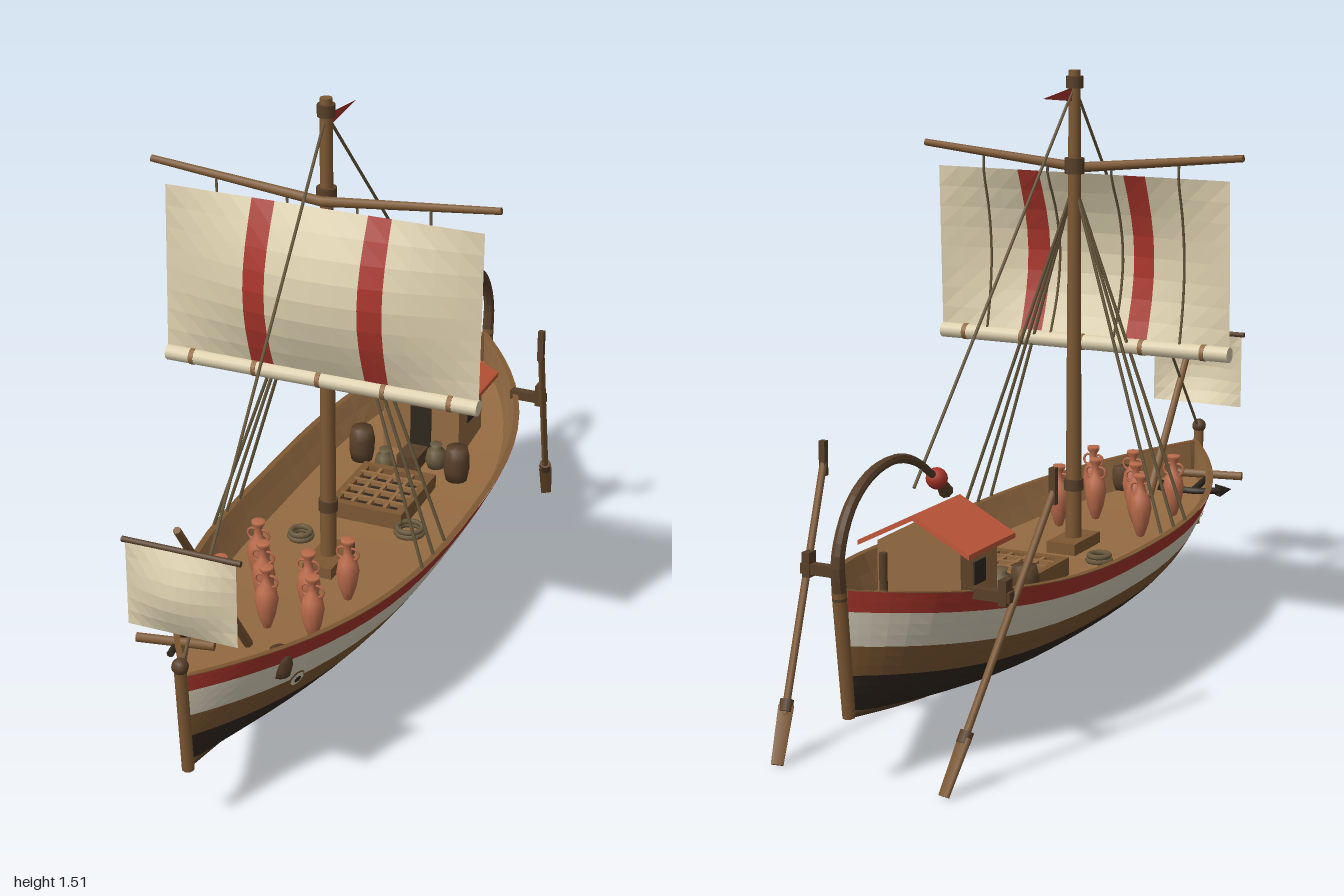
import * as THREE from 'three';

const mat = (name, color, side = THREE.FrontSide) => {
  const m = new THREE.MeshStandardMaterial({ color, side });
  m.name = name;
  return m;
};
const D = THREE.DoubleSide;

export function createModel() {
  const M = {
    deck: mat('deck wood', 0x946b42, D), spar: mat('spar wood', 0x7d5833, D),
    dark: mat('dark wood', 0x583f29, D), red: mat('red paint', 0xa8352b, D),
    white: mat('white paint', 0xd9d1bb, D), sail: mat('sail cloth', 0xdccfae, D),
    pitch: mat('pitch black', 0x30271f, D), clay: mat('clay', 0xbb6c4c, D),
    roof: mat('roof tile', 0xc0573a), rope: mat('rope', 0x6a5a3e),
  };
  const root = new THREE.Group();
  root.name = 'sailingShip';
  const V = (x, y, z) => new THREE.Vector3(x, y, z);

  const add = (name, geo, m, x = 0, y = 0, z = 0) => {
    const o = new THREE.Mesh(geo, m);
    o.name = name;
    o.position.set(x, y, z);
    root.add(o);
    return o;
  };
  const box = (name, m, w, h, d, x, y, z) => add(name, new THREE.BoxGeometry(w, h, d), m, x, y, z);
  const cyl = (name, m, r, h, x, y, z, r2 = r) => add(name, new THREE.CylinderGeometry(r2, r, h, 12), m, x, y, z);
  // tapered rod from a to b
  const rod = (name, m, a, b, r1, r2 = r1, n = 8) => {
    const d = b.clone().sub(a);
    const o = add(name, new THREE.CylinderGeometry(r2, r1, d.length(), n), m);
    o.position.copy(a).add(b).multiplyScalar(0.5);
    o.quaternion.setFromUnitVectors(V(0, 1, 0), d.normalize());
    return o;
  };
  // faceted grid over f(u, v)
  const surface = (f, nu, nv) => {
    const p = [], idx = [];
    for (let i = 0; i <= nu; i++) for (let j = 0; j <= nv; j++) p.push(...f(i / nu, j / nv));
    for (let i = 0; i < nu; i++) for (let j = 0; j < nv; j++) {
      const a = i * (nv + 1) + j, b = a + nv + 1;
      idx.push(a, b, a + 1, b, b + 1, a + 1);
    }
    let g = new THREE.BufferGeometry();
    g.setAttribute('position', new THREE.Float32BufferAttribute(p, 3));
    g.setIndex(idx);
    g = g.toNonIndexed();
    g.computeVertexNormals();
    return g;
  };

  // hull lines
  const L = 0.955;
  const sheer = z => 0.363 + (z > 0 ? 0.043 : 0.093) * (z / L) ** 2;
  const bottom = z => 0.09 + 0.085 * Math.abs(z / L) ** 2.2;
  const half = z => 0.006 + 0.291 * (1 - Math.abs(z / L) ** (z > 0 ? 2.5 : 3.3));
  const deckY = z => sheer(z) - 0.085;
  const hull = (z, t, inset = 0) => [
    Math.max(0, half(z) * t ** 0.43 - inset), bottom(z) + t * (sheer(z) - bottom(z)), z];
  const zAt = u => L * Math.sin((u - 0.5) * Math.PI);
  const deckT = z => (deckY(z) - bottom(z)) / (sheer(z) - bottom(z));

  for (const s of [1, -1]) {
    const flip = ([x, y, z]) => [s * x, y, z];
    const bands = [['hullBottom', M.pitch, 0, 0.31, 7], ['hullWale', M.spar, 0.31, 0.55, 3],
      ['hullPaintedBand', M.white, 0.55, 0.83, 3], ['hullTopStrake', M.red, 0.83, 1, 2]];
    for (const [name, m, t0, t1, n] of bands)
      add(name, surface((u, v) => flip(hull(zAt(u), t0 + (t1 - t0) * (t0 ? v : v * v))), 32, n), m);
    add('bulwarkInside', surface((u, v) => {
      const z = zAt(u), t = deckT(z);
      return flip(hull(z, t + (1 - t) * v, 0.012));
    }, 32, 2), M.deck);
    add('gunwale', surface((u, v) => {
      const [x, y, z] = hull(zAt(u), 1, 0.016 * v);
      return flip([x, y + 0.002, z]);
    }, 32, 1), M.spar);
  }
  add('deck', surface((u, v) => {
    const z = zAt(u), [x] = hull(z, deckT(z), 0.008);
    return [x * (2 * v - 1), deckY(z), z];
  }, 32, 2), M.deck);

  // keel, stem and stern posts
  const keelCurve = new THREE.CatmullRomCurve3(
    [-0.95, -0.7, -0.4, 0, 0.4, 0.7, 0.955].map(z => V(0, bottom(z) - 0.002, z)));
  add('keel', new THREE.TubeGeometry(keelCurve, 28, 0.01, 6), M.dark);
  rod('stemPost', M.spar, V(0, 0.16, 0.958), V(0, 0.44, 0.98), 0.015, 0.015);
  add('stemKnob', new THREE.SphereGeometry(0.02, 10, 8), M.dark, 0, 0.445, 0.98);
  rod('sternPost', M.spar, V(0, 0.165, -0.95), V(0, 0.46, -0.982), 0.015, 0.017);

  // curved stern ornament, tapering towards the head
  const arch = new THREE.CatmullRomCurve3([[0.44, -0.98], [0.54, -0.984], [0.635, -0.935],
    [0.69, -0.85], [0.705, -0.74], [0.682, -0.65], [0.63, -0.565]].map(([y, z]) => V(0, y, z)));
  add('sternArch', surface((u, v) => {
    const p = arch.getPoint(u), t = arch.getTangent(u), a = v * Math.PI * 2;
    const r = 0.017 - 0.008 * u, c = Math.cos(a) * r;
    return [Math.sin(a) * r, p.y + t.z * c, p.z - t.y * c];
  }, 24, 8), M.dark);
  add('ornamentHead', new THREE.SphereGeometry(0.026, 12, 8), M.red, 0, 0.62, -0.55);
  rod('ornamentBeak', M.dark, V(0, 0.61, -0.535), V(0, 0.578, -0.505), 0.012, 0.018);

  // mast and rigging
  const mz = 0.165;
  rod('mast', M.spar, V(0, 0.28, mz), V(0, 1.515, mz), 0.021, 0.015, 12);
  cyl('mastHead', M.dark, 0.022, 0.03, 0, 1.485, mz);
  cyl('mastLowerCollar', M.dark, 0.025, 0.03, 0, 0.45, mz);
  cyl('mastYardCollar', M.dark, 0.025, 0.04, 0, 1.275, mz);
  box('mastStep', M.spar, 0.08, 0.03, 0.15, 0, 0.295, mz);
  rod('forestay', M.rope, V(0, 1.475, mz), V(0, 0.44, 0.975), 0.004, 0.004, 5);
  rod('backstay', M.rope, V(0, 1.475, mz), V(0, 0.62, -0.655), 0.004, 0.004, 5);
  add('pennant', surface((u, v) => [0, 1.455 + (v - 0.5) * 0.034 * (1 - u), 0.15 - 0.16 * u], 4, 1), M.red);
  for (const s of [1, -1]) {
    rod('yardArm', M.spar, V(0, 1.268, 0.193), V(0.447 * s, 1.312, 0.193), 0.013, 0.009);
    for (const z of [0.09, 0.165, 0.24])
      rod('shroud', M.rope, V(0, 1.23, mz), V(0.283 * s, 0.37, z), 0.0045, 0.0045, 5);
  }

  // mainsail in vertical cloths
  const sailZ = (x, v) => 0.198 + 0.015 * (1 - v)
    + 0.07 * Math.sin(Math.PI * v) * Math.cos((x / 0.41) * Math.PI / 2);
  const cloths = [[-0.41, -0.18, 4], [-0.18, -0.12, 1], [-0.12, 0.12, 4], [0.12, 0.18, 1], [0.18, 0.41, 4]];
  cloths.forEach(([a, b, n], i) => add(i % 2 ? 'sailStripe' : 'sailCloth', surface((u, v) => {
    const x = a + (b - a) * u;
    return [x, 0.825 + 0.428 * v, sailZ(x, v)];
  }, n, 8), i % 2 ? M.red : M.sail));
  const roll = cyl('sailRoll', M.sail, 0.02, 0.82, 0, 0.816, 0.213);
  roll.rotation.z = Math.PI / 2;
  for (const x of [-0.34, -0.17, 0, 0.17, 0.34])
    cyl('rollTie', M.deck, 0.0215, 0.012, x, 0.816, 0.213).rotation.z = Math.PI / 2;
  for (const x of [-0.275, -0.09, 0.09, 0.275]) {
    const pts = [0, 0.25, 0.5, 0.75, 1].map(v => V(x, 0.825 + 0.428 * v, sailZ(x, v) - 0.007));
    pts.push(V(x, 1.285, 0.193));
    add('brailLine', new THREE.TubeGeometry(new THREE.CatmullRomCurve3(pts), 14, 0.0035, 5), M.rope);
  }

  // foresail on its raked spar
  rod('bowSpar', M.spar, V(0, 0.31, 0.635), V(0, 0.785, 0.972), 0.012, 0.009);
  rod('foreYard', M.dark, V(-0.145, 0.725, 0.957), V(0.145, 0.725, 0.957), 0.007);
  add('foresail', surface((u, v) => [0.27 * (u - 0.5), 0.515 + 0.208 * v,
    0.962 + 0.032 * Math.sin(Math.PI * v) * Math.sin(Math.PI * u)], 8, 6), M.sail);

  // deck cabin
  const cd = deckY(-0.55) - 0.01;
  const shapeOf = pts => new THREE.Shape(pts.map(p => new THREE.Vector2(...p)));
  const extrude = (pts, depth) => new THREE.ExtrudeGeometry(shapeOf(pts), { depth, bevelEnabled: false });
  add('cabinWalls', extrude([[-0.11, cd], [0.11, cd], [0.11, 0.48], [0, 0.54], [-0.11, 0.48]], 0.175),
    M.deck, 0, 0, -0.637);
  add('cabinRoof', extrude([[-0.147, 0.47], [0, 0.545], [0.147, 0.47], [0.147, 0.482], [0, 0.558], [-0.147, 0.482]],
    0.225), M.roof, 0, 0, -0.665);
  box('cabinDoor', M.pitch, 0.06, 0.13, 0.006, 0, cd + 0.075, -0.461);
  for (const s of [1, -1]) box('cabinWindow', M.pitch, 0.006, 0.055, 0.055, s * 0.111, 0.412, -0.55);
  box('cabinStep', M.dark, 0.06, 0.04, 0.08, 0, deckY(-0.4) + 0.02, -0.4);
  rod('sternBollard', M.dark, V(0.06, 0.31, -0.695), V(0.06, 0.47, -0.695), 0.01);

  // hatch with grating
  const hy = deckY(-0.19);
  box('hatchOpening', M.pitch, 0.18, 0.01, 0.22, 0, hy + 0.008, -0.19);
  for (const s of [1, -1]) {
    box('hatchSide', M.spar, 0.022, 0.045, 0.245, s * 0.092, hy + 0.02, -0.19);
    box('hatchEnd', M.spar, 0.2, 0.045, 0.022, 0, hy + 0.02, -0.19 + s * 0.112);
  }
  for (const x of [-0.045, 0, 0.045]) box('gratingBar', M.deck, 0.01, 0.012, 0.22, x, hy + 0.036, -0.19);
  for (let i = 0; i < 4; i++) box('gratingSlat', M.deck, 0.18, 0.012, 0.01, 0, hy + 0.038, -0.256 + i * 0.044);

  // cargo
  const lathe = pts => new THREE.LatheGeometry(pts.map(p => new THREE.Vector2(...p)), 12);
  const jar = lathe([[0, 0], [0.01, 0.005], [0.022, 0.04], [0.029, 0.08], [0.024, 0.11],
    [0.011, 0.128], [0.01, 0.15], [0.017, 0.162], [0.017, 0.17], [0, 0.168]]);
  for (const [x, z] of [[-0.12, 0.32], [0.12, 0.32], [-0.06, 0.42], [0.06, 0.42], [-0.12, 0.53], [0, 0.53], [0.12, 0.53]]) {
    const y = deckY(z) + 0.002;
    add('amphora', jar, M.clay, x, y, z);
    for (const s of [1, -1])
      add('amphoraHandle', new THREE.TorusGeometry(0.015, 0.0035, 5, 10), M.clay, x + s * 0.014, y + 0.132, z);
  }
  const barrel = lathe([[0, 0], [0.029, 0], [0.035, 0.03], [0.035, 0.065], [0.029, 0.095], [0, 0.095]]);
  for (const [x, z] of [[-0.14, -0.38], [0.14, -0.37], [0.12, 0.715]]) {
    const o = add('barrel', barrel, M.dark, x, deckY(z), z);
    if (z > 0) o.scale.set(0.85, 0.7, 0.85);
  }
  const pot = lathe([[0, 0], [0.022, 0], [0.03, 0.025], [0.024, 0.05], [0.013, 0.058], [0.017, 0.07], [0, 0.066]]);
  for (const [x, z] of [[0.065, -0.41], [-0.055, -0.338]]) add('pot', pot, M.rope, x, deckY(z), z);
  for (const [x, z, r] of [[0.13, -0.06, 0.036], [-0.12, 0.07, 0.029]])
    for (let i = 0; i < 2; i++)
      add('ropeCoil', new THREE.TorusGeometry(r - i * 0.003, 0.007, 6, 18), M.rope, x, deckY(z) + 0.008 + i * 0.012, z)
        .rotation.x = Math.PI / 2;

  // anchor resting at the bow
  const ay = 0.352;
  rod('anchorShank', M.pitch, V(-0.145, ay, 0.61), V(-0.115, ay, 0.81), 0.009);
  rod('anchorStock', M.spar, V(-0.215, ay + 0.008, 0.785), V(-0.03, ay + 0.008, 0.75), 0.012);
  const arms = new THREE.QuadraticBezierCurve3(V(-0.22, ay, 0.65), V(-0.15, ay, 0.56), V(-0.045, ay, 0.63));
  add('anchorArms', new THREE.TubeGeometry(arms, 10, 0.009, 6), M.pitch);
  rod('anchorFluke', M.pitch, V(-0.205, ay, 0.635), V(-0.232, ay, 0.665), 0.022, 0.001, 4);
  rod('anchorFluke', M.pitch, V(-0.055, ay, 0.615), V(-0.036, ay, 0.65), 0.022, 0.001, 4);

  for (const s of [1, -1]) {
    // steering oar
    const top = V(s * 0.305, 0.625, -0.555), end = V(s * 0.217, 0.005, -0.913);
    const at = k => top.clone().lerp(end, k);
    rod('oarShaft', M.spar, top, at(0.84), 0.009);
    rod('oarCollar', M.dark, at(0.79), at(0.83), 0.016);
    const blade = rod('oarBlade', M.spar, at(0.81), end, 0.02, 0.016, 4);
    blade.geometry.rotateY(Math.PI / 4).scale(1.25, 1, 0.45);
    box('tiller', M.dark, 0.016, 0.085, 0.016, s * 0.305, 0.637, -0.555);
    box('oarBeam', M.dark, 0.1, 0.025, 0.025, s * 0.225, 0.41, -0.7);
    box('oarBracket', M.dark, 0.02, 0.06, 0.03, s * 0.258, 0.42, -0.7);

    // painted bow eye
    const p = V(...hull(0.67, 0.56)), a = V(...hull(0.69, 0.56)), b = V(...hull(0.67, 0.62));
    const n = a.sub(p).cross(b.sub(p)).normalize();
    if (n.x < 0) n.negate();
    n.x *= s;
    p.x *= s;
    [['eyeRim', M.spar, 0.024, 0.004], ['eyeWhite', M.white, 0.02, 0.006], ['eyePupil', M.pitch, 0.01, 0.008]]
      .forEach(([name, m, r, off]) => {
        const o = add(name, new THREE.CircleGeometry(r, 18), m);
        o.position.copy(p).addScaledVector(n, off);
        o.lookAt(o.position.clone().add(n));
      });
  }
  return root;
}
